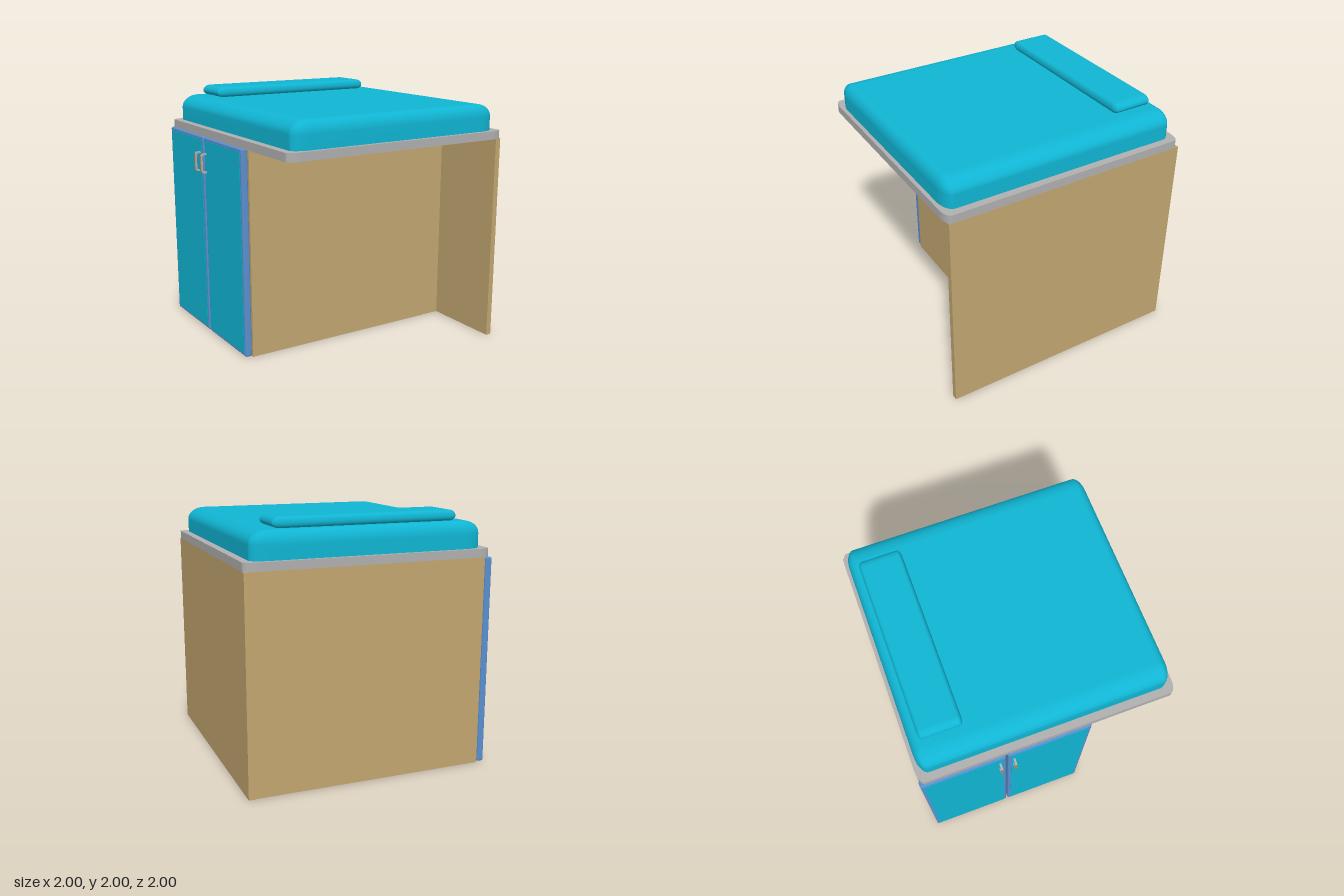
import * as THREE from 'three';
import { RoundedBoxGeometry } from 'three/addons/geometries/RoundedBoxGeometry.js';

const mat = (name, color) => {
  const m = new THREE.MeshStandardMaterial({ color });
  m.name = name;
  return m;
};

// Padded block: stacked rounded-rectangle loops with elliptical corners
function softBox([x0, x1], [y0, y1], [z0, z1], rx, rz, rTop, rBottom) {
  const corner = 8, steps = 8, pos = [], index = [], levels = [];
  if (rBottom > 0) {
    for (let i = 0; i <= steps; i++) {
      const a = (i / steps - 1) * Math.PI / 2;
      levels.push([Math.cos(a), y0 + rBottom * (1 + Math.sin(a))]);
    }
  } else levels.push([1, y0]);
  for (let i = 0; i <= steps; i++) {
    const a = (i / steps) * Math.PI / 2;
    levels.push([Math.cos(a), y1 - rTop * (1 - Math.sin(a))]);
  }
  const cx = (x0 + x1) / 2, cz = (z0 + z1) / 2;
  const hx = (x1 - x0) / 2 - rx, hz = (z1 - z0) / 2 - rz;
  const signs = [[1, 1], [-1, 1], [-1, -1], [1, -1]];
  const n = 4 * (corner + 1);
  for (const [k, y] of levels) {
    signs.forEach(([sx, sz], q) => {
      for (let i = 0; i <= corner; i++) {
        const a = (q + i / corner) * Math.PI / 2;
        pos.push(cx + sx * hx + k * rx * Math.cos(a), y, cz + sz * hz + k * rz * Math.sin(a));
      }
    });
  }
  for (let l = 0; l < levels.length - 1; l++) {
    for (let i = 0; i < n; i++) {
      const a = l * n + i, b = l * n + (i + 1) % n;
      index.push(a, a + n, b, b, a + n, b + n);
    }
  }
  const top = (levels.length - 1) * n;
  for (let i = 1; i < n - 1; i++) {
    index.push(top, top + i + 1, top + i);
    if (rBottom > 0) index.push(0, i, i + 1);
  }
  const g = new THREE.BufferGeometry();
  g.setAttribute('position', new THREE.Float32BufferAttribute(pos, 3));
  g.setIndex(index);
  g.computeVertexNormals();
  return g;
}

// Flat board with elliptical plan corners
function roundedSlab([x0, x1], [y0, y1], [z0, z1], rx, rz) {
  const s = new THREE.Shape();
  const arc = (cx, cy, from) => s.absellipse(cx, cy, rx, rz, from, from + Math.PI / 2, false, 0);
  s.moveTo(x1, z0 + rz);
  arc(x1 - rx, z1 - rz, 0);
  arc(x0 + rx, z1 - rz, Math.PI / 2);
  arc(x0 + rx, z0 + rz, Math.PI);
  arc(x1 - rx, z0 + rz, Math.PI * 1.5);
  const g = new THREE.ExtrudeGeometry(s, { depth: y1 - y0, bevelEnabled: false, curveSegments: 8 });
  return g.rotateX(-Math.PI / 2).translate(0, y0, 0);
}

export function createModel() {
  const group = new THREE.Group();
  const teal = mat('teal', 0x10b5d3);
  const wood = mat('wood', 0xc2a670);
  const grey = mat('grey', 0xb0b0b0);
  const blue = mat('blue', 0x5a90cf);
  const brown = mat('brown', 0xb98466);

  const add = (name, geometry, material, parent = group) => {
    const m = new THREE.Mesh(geometry, material);
    m.name = name;
    parent.add(m);
    return m;
  };
  const box = ([x0, x1], [y0, y1], [z0, z1]) =>
    new THREE.BoxGeometry(x1 - x0, y1 - y0, z1 - z0)
      .translate((x0 + x1) / 2, (y0 + y1) / 2, (z0 + z1) / 2);

  // Cabinet and the long supporting side panel
  add('cabinet', box([-0.885, 0.955], [0, 1.647], [-0.995, 0.335]), wood);
  add('sidePanel', box([0.955, 1], [0, 1.647], [-1, 0.98]), wood);

  // Table top, mattress and pillow
  add('tableTop', roundedSlab([-0.93, 1], [1.647, 1.712], [-1, 1], 0.1, 0.045), grey);
  add('mattress', softBox([-0.87, 0.94], [1.712, 1.92], [-0.97, 0.97], 0.14, 0.07, 0.1, 0), teal);
  add('pillow', softBox([-0.69, 0.755], [1.918, 2], [-0.895, -0.565], 0.06, 0.03, 0.045, 0.035), teal);

  // Doors with inset panels
  const doorH = 1.64;
  for (const [side, z0, z1] of [['back', -1, -0.342], ['front', -0.328, 0.33]]) {
    const door = new THREE.Group();
    door.name = side + 'Door';
    group.add(door);
    const zc = (z0 + z1) / 2, yc = 0.005 + doorH / 2;
    add('doorFrame', new RoundedBoxGeometry(0.056, doorH, z1 - z0, 3, 0.014)
      .translate(-0.917, yc, zc), blue, door);
    add('doorPanel', box([-0.948, -0.943], [0.03, doorH - 0.02], [z0 + 0.025, z1 - 0.025]), teal, door);
  }

  // Bracket handles
  const outline = [
    [-0.943, 1.36], [-0.985, 1.364], [-0.996, 1.38], [-0.996, 1.505], [-0.985, 1.52], [-0.943, 1.525],
    [-0.943, 1.51], [-0.975, 1.506], [-0.982, 1.495], [-0.982, 1.39], [-0.975, 1.379], [-0.943, 1.375],
  ].map(([x, y]) => new THREE.Vector2(x, y));
  for (const [side, z] of [['back', -0.393], ['front', -0.283]]) {
    const handle = new THREE.Group();
    handle.name = side + 'Handle';
    handle.position.z = z;
    group.add(handle);
    add('handleBar', new THREE.ExtrudeGeometry(new THREE.Shape(outline), { depth: 0.016, bevelEnabled: false })
      .translate(0, 0, -0.008), grey, handle);
    add('handleGrip', box([-1, -0.996], [1.38, 1.505], [-0.008, 0.008]), brown, handle);
  }
  return group;
}
